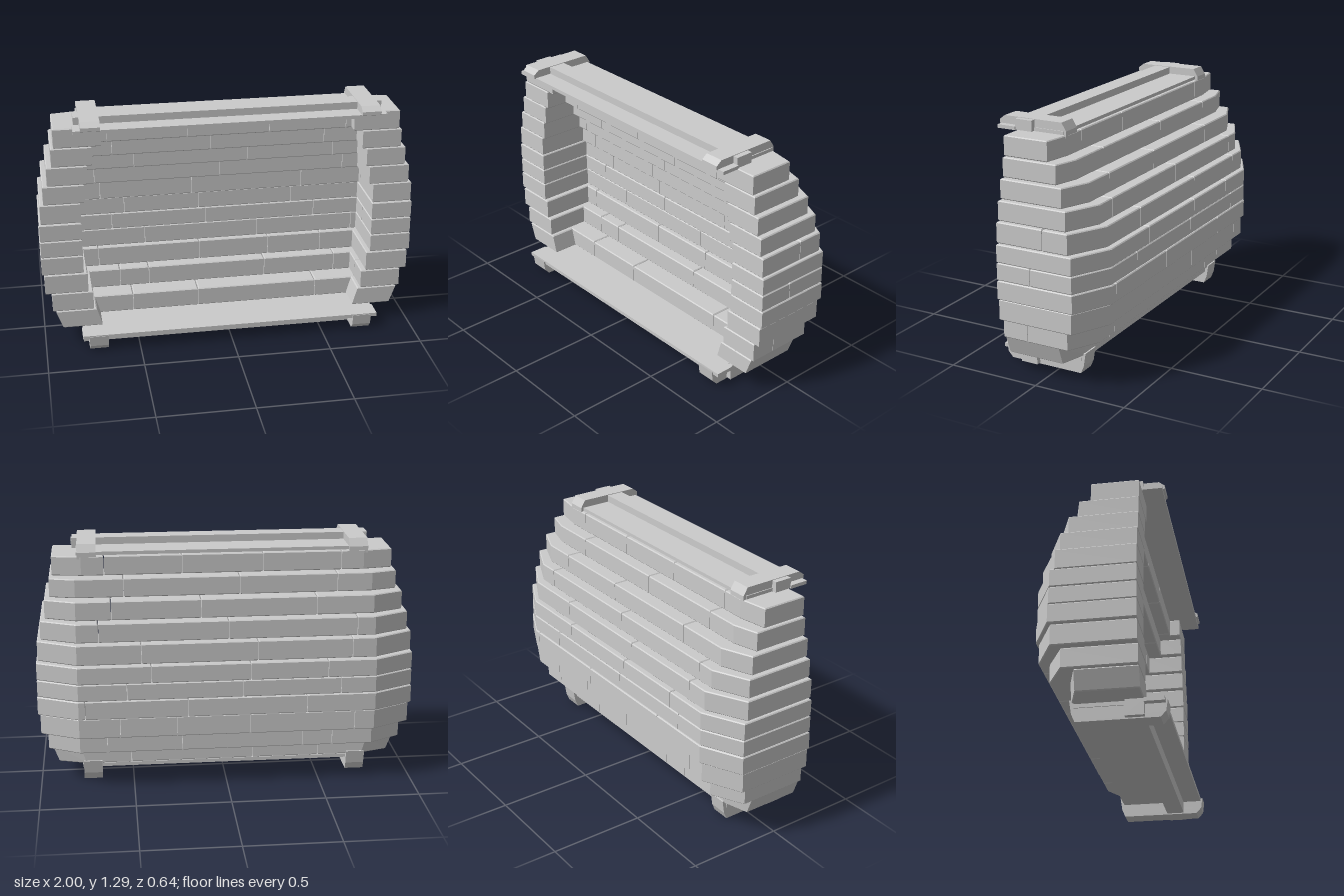
import * as THREE from 'three';

const material = new THREE.MeshStandardMaterial({ color: 0xcccccc, flatShading: true });
const GAP = 0.0015, BEVEL = 0.005, FRONT = 0.209, THICK = 0.213;

// Courses from the bottom up: y range, half width, pillar inner x,
// chamfer start z, back z, joints along the back, optional joint in the left return
const COURSES = [
  { y: [0.097, 0.198], hx: 0.938, hi: 0.72, zc: -0.1, zb: -0.145, joints: [-0.51, -0.15, 0.51] },
  { y: [0.199, 0.303], hx: 0.953, hi: 0.735, zc: -0.16, zb: -0.248, joints: [-0.57, -0.41, 0.24, 0.64], side: 0.07 },
  { y: [0.304, 0.414], hx: 0.988, hi: 0.76, zc: -0.205, zb: -0.304, joints: [-0.68, -0.12, 0.27, 0.57] },
  { y: [0.417, 0.517], hx: 1.0, hi: 0.78, zc: -0.218, zb: -0.321, joints: [-0.42, 0.21, 0.75] },
  { y: [0.518, 0.609], hx: 0.998, hi: 0.78, zc: -0.215, zb: -0.317, joints: [-0.6, -0.08, 0.53], side: 0.02 },
  { y: [0.61, 0.705], hx: 0.998, hi: 0.78, zc: -0.213, zb: -0.317, joints: [-0.53, -0.12, 0.4] },
  { y: [0.709, 0.817], hx: 0.99, hi: 0.78, zc: -0.19, zb: -0.295, joints: [-0.66, -0.16, 0.45], side: -0.05 },
  { y: [0.818, 0.92], hx: 0.971, hi: 0.757, zc: -0.17, zb: -0.255, joints: [-0.69, -0.01, 0.67] },
  { y: [0.921, 1.023], hx: 0.946, hi: 0.737, zc: -0.135, zb: -0.2, joints: [-0.48, 0.13, 0.6] },
  { y: [1.024, 1.125], hx: 0.919, hi: 0.71, zc: -0.09, zb: -0.127, joints: [-0.6, -0.08, 0.53] },
  { y: [1.126, 1.23], hx: 0.904, hi: 0.66, zc: -0.035, zb: -0.061, joints: [-0.63, -0.21, 0.22, 0.63] },
];

function mesh(name, geometry, parent) {
  const m = new THREE.Mesh(geometry, material);
  m.name = name;
  parent.add(m);
}

// A bevelled brick from an [x, z] outline between two heights
function brick(points, [y0, y1]) {
  const shape = new THREE.Shape(points.map(([x, z]) => new THREE.Vector2(x, z)));
  const g = new THREE.ExtrudeGeometry(shape, {
    depth: y1 - y0 - 2 * BEVEL, bevelEnabled: true, bevelSegments: 1,
    bevelThickness: BEVEL, bevelSize: BEVEL, bevelOffset: -BEVEL,
  });
  return g.rotateX(Math.PI / 2).translate(0, y1 - BEVEL, 0);
}

// The ends of the lowest course narrow towards the floor
function taper(g, [y0, y1]) {
  const p = g.attributes.position;
  for (let i = 0; i < p.count; i++) {
    if (Math.abs(p.getX(i)) < 0.6) continue;
    const t = (y1 - p.getY(i)) / (y1 - y0);
    p.setX(i, p.getX(i) * (1 - 0.04 * t));
  }
  g.computeVertexNormals();
  return g;
}

function buildCourse(c, index) {
  const group = new THREE.Group();
  group.name = 'brickCourse' + (index + 1);
  const add = (name, pts) => {
    const g = brick(pts, c.y);
    mesh(name, index === 0 ? taper(g, c.y) : g, group);
  };
  const { hx, hi, zc, zb, joints } = c;
  const zi = zb + THICK;
  const xc = index === 10 ? 0.75 : 0.785;

  // straight bricks of the back wall
  for (let i = 0; i < joints.length - 1; i++) {
    const a = joints[i] + GAP, b = joints[i + 1] - GAP;
    add('backBrick', [[a, zi], [a, zb], [b, zb], [b, zi]]);
  }

  // chamfered corner bricks that turn into the side pillars
  for (const s of [-1, 1]) {
    const j = Math.abs(s < 0 ? joints[0] : joints[joints.length - 1]) + GAP;
    const split = s > 0 && c.side !== undefined;
    const outer = [[j, zb], [xc, zb], [hx, zc]];
    let pts = [...outer, [hx, FRONT], [hi, FRONT], [hi, zi], [j, zi]];
    if (split) {
      // the corner ends at the side joint and a separate brick fills the pillar
      const zs = c.side - GAP, z = c.side + GAP;
      pts = zs > zi + 0.02
        ? [...outer, [hx, zs], [hi, zs], [hi, zi], [j, zi]]
        : [...outer, [hx, zs], [j, zs]];
      add('pillarBrick', [[hx, z], [hx, FRONT], [hi, FRONT], [hi, z]]);
    }
    add('cornerBrick', pts.map(([x, z]) => [s * x, z]));
  }
  return group;
}

function box(name, [x0, x1], [y0, y1], [z0, z1], parent) {
  const g = new THREE.BoxGeometry(x1 - x0, y1 - y0, z1 - z0);
  g.translate((x0 + x1) / 2, (y0 + y1) / 2, (z0 + z1) / 2);
  mesh(name, g, parent);
}

// A strap from a [z, y] side profile, one at each end
function straps(profile, parent) {
  const shape = new THREE.Shape(profile.map(([z, y]) => new THREE.Vector2(-z, y)));
  for (const s of [-1, 1]) {
    const g = new THREE.ExtrudeGeometry(shape, { depth: 0.1, bevelEnabled: false });
    g.rotateY(Math.PI / 2).translate(s * 0.72 - 0.05, 0, 0);
    mesh('endStrap', g, parent);
  }
}

export function createModel() {
  const model = new THREE.Group();
  model.name = 'curvedBrickWall';
  const wall = new THREE.Group();
  wall.name = 'brickWall';
  COURSES.forEach((c, i) => wall.add(buildCourse(c, i)));
  model.add(wall);

  // top frame: slab, raised rail, front ledge and straps
  const top = new THREE.Group();
  top.name = 'topFrame';
  box('slab', [-0.775, 0.775], [1.232, 1.25], [-0.045, 0.21], top);
  box('frontLedge', [-0.805, 0.805], [1.232, 1.25], [0.21, 0.31], top);
  box('rail', [-0.798, 0.798], [1.233, 1.288], [0.118, 0.212], top);
  straps([
    [0.32, 1.25], [0.32, 1.268], [0.29, 1.291], [-0.035, 1.291],
    [-0.06, 1.25], [-0.06, 1.215], [-0.045, 1.215], [-0.045, 1.24], [0.3, 1.24],
  ], top);
  model.add(top);

  // bottom frame: the same parts turned downwards and deeper
  const bottom = new THREE.Group();
  bottom.name = 'bottomFrame';
  box('slab', [-0.775, 0.775], [0.07, 0.09], [-0.13, 0.21], bottom);
  box('frontLedge', [-0.805, 0.805], [0.07, 0.09], [0.21, 0.31], bottom);
  box('rail', [-0.798, 0.798], [0.006, 0.089], [0.118, 0.212], bottom);
  straps([
    [0.32, 0.088], [0.312, 0.03], [0.285, 0], [-0.125, 0],
    [-0.142, 0.04], [-0.153, 0.112], [-0.13, 0.112], [-0.13, 0.08], [0.3, 0.08],
  ], bottom);
  model.add(bottom);

  return model;
}
